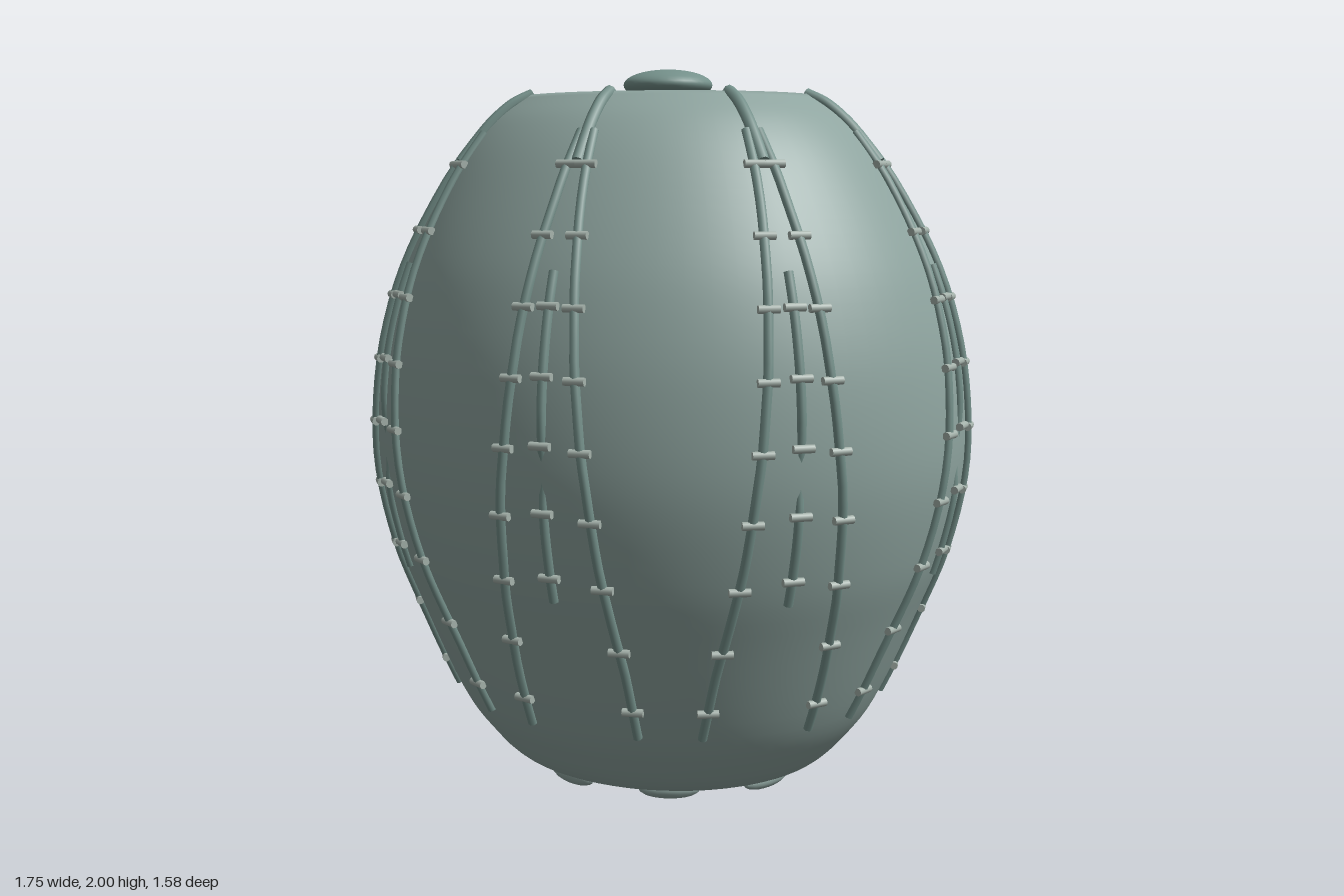
import * as THREE from 'three';

const DEPTH = 0.9; // the plan is an ellipse: z is narrower than x

// Side profile [radius, height], bottom to top
const profile = new THREE.SplineCurve([
  [0.39, 0.02], [0.46, 0.05], [0.53, 0.115], [0.62, 0.24], [0.735, 0.5], [0.807, 0.69], [0.855, 0.93],
  [0.847, 1.18], [0.8, 1.39], [0.728, 1.56], [0.62, 1.74], [0.52, 1.855], [0.42, 1.925],
].map(([r, y]) => new THREE.Vector2(r, y))).getPoints(60);

function radiusAt(y) {
  let i = 1;
  while (i < profile.length - 1 && profile[i].y < y) i++;
  const a = profile[i - 1], b = profile[i];
  return a.x + (b.x - a.x) * (y - a.y) / (b.y - a.y);
}

const onEllipse = (r, y, angle) =>
  new THREE.Vector3(r * Math.sin(angle), y, DEPTH * r * Math.cos(angle));

// Point on the shell, moved outward by lift
const onShell = (y, angle, lift = 0) => onEllipse(radiusAt(y) + lift, y, angle);

// Sideways distance of a side rib from its group's middle line
const spread = new THREE.SplineCurve([
  [0.018, 1.82], [0.027, 1.735], [0.048, 1.56], [0.07, 1.385], [0.088, 1.21], [0.107, 1.03],
  [0.126, 0.855], [0.14, 0.675], [0.154, 0.5], [0.158, 0.32], [0.156, 0.24],
].map(([x, y]) => new THREE.Vector2(x, y))).getPoints(80);

function spreadAngle(y) {
  let best = spread[0];
  for (const p of spread) if (Math.abs(p.y - y) < Math.abs(best.y - y)) best = p;
  return Math.asin(best.x / radiusAt(best.y));
}

export function createModel() {
  const model = new THREE.Group();
  const shellMat = new THREE.MeshStandardMaterial({ color: 0x8fa5a0 });
  const ribMat = new THREE.MeshStandardMaterial({ color: 0x75918b });
  const barMat = new THREE.MeshStandardMaterial({ color: 0xa6b3ac });

  const add = (parent, name, geometry, material) => {
    const mesh = new THREE.Mesh(geometry, material);
    mesh.name = name;
    parent.add(mesh);
    return mesh;
  };

  // Tube with closed ends
  const addRib = (parent, name, points, radius) => {
    const rib = add(parent, name,
      new THREE.TubeGeometry(new THREE.CatmullRomCurve3(points), 32, radius, 8), ribMat);
    [[points[0], points[1]], [points.at(-1), points.at(-2)]].forEach(([end, next]) => {
      const cap = add(rib, name + 'End', new THREE.CircleGeometry(radius, 8), ribMat);
      cap.position.copy(end);
      cap.lookAt(end.clone().multiplyScalar(2).sub(next));
    });
  };

  // Body with a flat top and base
  const body = new THREE.LatheGeometry(
    [new THREE.Vector2(0, 0.02), ...profile, new THREE.Vector2(0, 1.93)], 72);
  add(model, 'body', body.scale(1, 1, DEPTH), shellMat);

  // Button on top
  const knob = add(model, 'topButton', new THREE.SphereGeometry(1, 32, 20), ribMat);
  knob.scale.set(0.125, 0.043, 0.125);
  knob.position.y = 1.957;

  // Short horizontal bar lying across a rib
  const barGeo = new THREE.CylinderGeometry(0.011, 0.011, 0.056, 10).rotateZ(Math.PI / 2);
  const addBar = (parent, y, angle) => {
    const bar = add(parent, 'crossBar', barGeo, barMat);
    bar.position.copy(onShell(y, angle, 0.008));
    bar.rotation.y = Math.atan2(Math.sin(angle) * DEPTH, Math.cos(angle));
  };

  const heights = (from, to, n) =>
    Array.from({ length: n + 1 }, (_, i) => from + (to - from) * i / n);

  // Eight groups of ribs: stem, two spreading ribs and a short middle rib
  for (let k = 0; k < 8; k++) {
    const angle = k * Math.PI / 4;
    const group = new THREE.Group();
    group.name = 'ribGroup';
    model.add(group);

    addRib(group, 'stem',
      [[0.41, 1.925], [0.468, 1.898], [0.53, 1.848], [0.58, 1.793], [0.622, 1.742]]
        .map(([r, y]) => onEllipse(r, y, angle)), 0.017);

    for (const side of [-1, 1]) {
      addRib(group, 'sideRib',
        heights(1.82, 0.24, 16).map(y => onShell(y, angle + side * spreadAngle(y), 0.003)), 0.013);
      for (const y of heights(1.735, 0.32, 8)) addBar(group, y, angle + side * spreadAngle(y));
    }

    // The middle rib dips into the shell near its centre
    addRib(group, 'middleRib', heights(1.47, 0.63, 14).map(y =>
      onShell(y, angle, 0.001 - 0.018 * Math.exp(-(((y - 0.97) / 0.08) ** 2)))), 0.013);
    for (const y of heights(1.385, 0.695, 4)) addBar(group, y, angle);

    // Low foot under the rim, between the groups
    const footAngle = angle + Math.PI / 8;
    const foot = add(model, 'foot', new THREE.SphereGeometry(1, 16, 10), shellMat);
    foot.scale.set(0.085, 0.026, 0.026);
    foot.position.copy(onEllipse(0.39, 0.026, footAngle));
    foot.rotation.y = footAngle;
  }
  return model;
}
